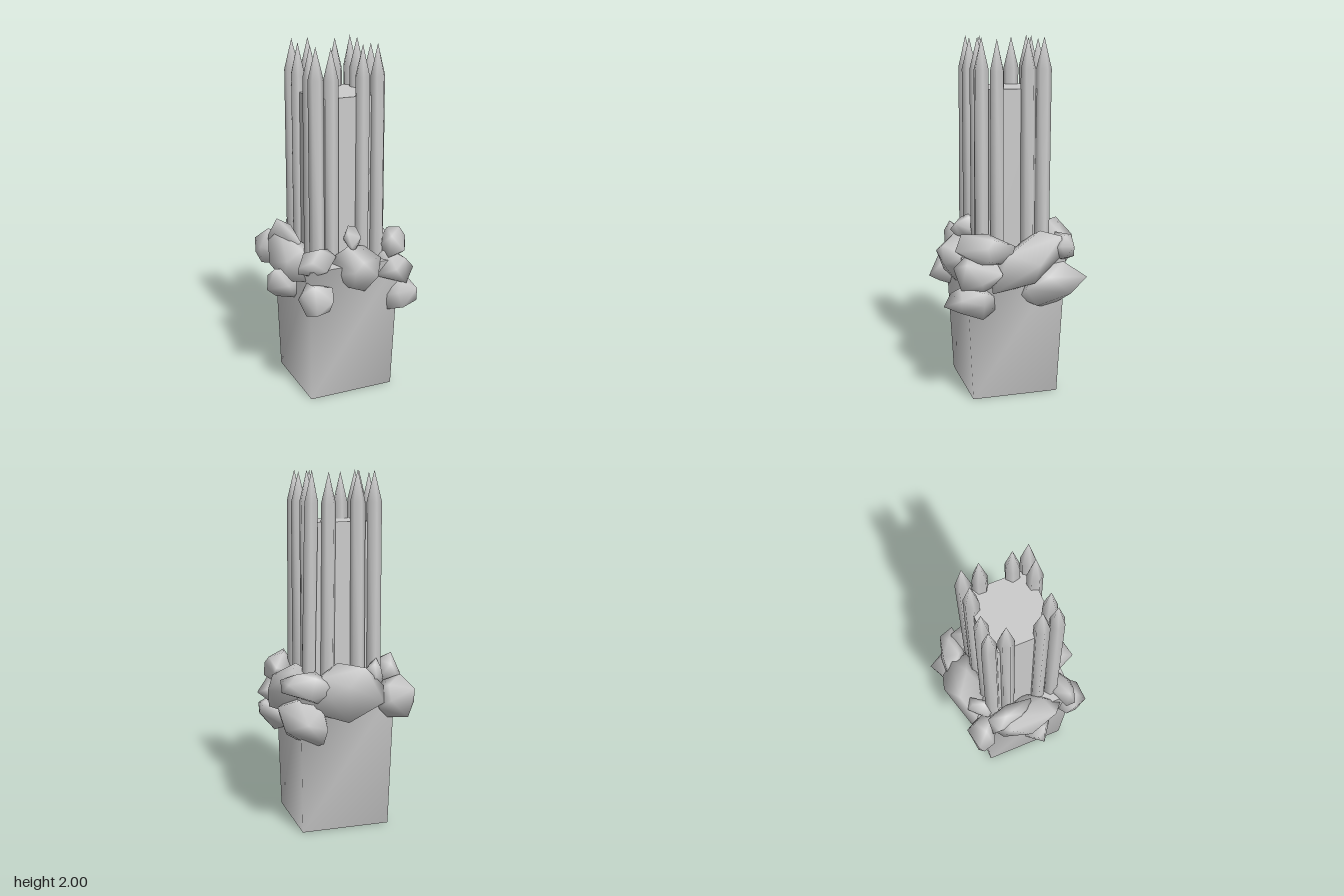
import * as THREE from 'three';
import { mergeVertices } from 'three/addons/utils/BufferGeometryUtils.js';
import { ConvexGeometry } from 'three/addons/geometries/ConvexGeometry.js';

const material = new THREE.MeshStandardMaterial({ color: 0xcccccc });
const openMaterial = new THREE.MeshStandardMaterial({ color: 0xcccccc, side: THREE.DoubleSide });

function add(parent, name, geometry, mat = material) {
  const mesh = new THREE.Mesh(geometry, mat);
  mesh.name = name;
  parent.add(mesh);
  return mesh;
}

// Share corners so that the normals run smoothly across them
function smooth(geometry) {
  geometry.deleteAttribute('normal');
  geometry.deleteAttribute('uv');
  const merged = mergeVertices(geometry, 1e-4);
  merged.computeVertexNormals();
  return merged;
}

function seeded(seed) {
  let s = seed * 7919 + 17;
  return () => (s = (s * 16807) % 2147483647) / 2147483647;
}

// Irregular convex boulder, skewed and then fitted into the box between two corners
function rockGeometry([x0, x1, y0, y1, z0, z1], [xByZ, yByX, yByZ], seed) {
  const rand = seeded(seed);
  for (let i = 0; i < 5; i++) rand();
  const points = [];
  const count = 13;
  for (let i = 0; i < count; i++) {
    const h = 1 - (2 * (i + 0.5)) / count;
    const a = i * 2.4 + rand() * 0.9 + seed;
    const r = Math.sqrt(1 - h * h);
    const p = new THREE.Vector3(r * Math.cos(a), h + (rand() - 0.5) * 0.2, r * Math.sin(a));
    p.multiplyScalar(0.85 + rand() * 0.25);
    p.y += yByX * p.x + yByZ * p.z;
    p.x += xByZ * p.z;
    points.push(p);
  }
  const box = new THREE.Box3().setFromPoints(points);
  const size = box.getSize(new THREE.Vector3());
  for (const p of points) {
    p.sub(box.min).divide(size);
    p.set(x0 + p.x * (x1 - x0), y0 + p.y * (y1 - y0), z0 + p.z * (z1 - z0));
  }
  return smooth(new ConvexGeometry(points));
}

export function createModel() {
  const group = new THREE.Group();
  group.name = 'palisadeTower';

  // Four-sided foundation, open below and wider at the top
  const wall = new THREE.CylinderGeometry(Math.SQRT1_2, Math.SQRT1_2, 0.8, 4, 1, true, Math.PI / 4);
  wall.translate(0, 0.4, 0);
  const pos = wall.attributes.position;
  for (let i = 0; i < pos.count; i++) {
    const y = pos.getY(i);
    pos.setX(i, pos.getX(i) * (0.505 + 0.04 * y) + 0.013);
    pos.setZ(i, pos.getZ(i) * (0.49 + 0.1 * y) + 0.005);
  }
  add(group, 'foundation', smooth(wall), openMaterial);
  const top = add(group, 'foundationTop', new THREE.PlaneGeometry(0.537, 0.57), openMaterial);
  top.rotation.x = -Math.PI / 2;
  top.position.set(0.013, 0.8, 0.005);

  // Square core behind the stakes
  const core = add(group, 'core', new THREE.BoxGeometry(0.36, 1.02, 0.355));
  core.position.set(0.008, 1.21, 0.003);

  // Sharpened six-sided stakes: x, z at the tip, then lean towards the foot
  const stakeGeometry = smooth(new THREE.LatheGeometry([
    new THREE.Vector2(0.042, -1.3),
    new THREE.Vector2(0.042, -0.17),
    new THREE.Vector2(0, 0),
  ], 6));
  const stakes = [
    [-0.165, -0.18, 0, 0], [-0.07, -0.18, 0, 0],
    [0.09, -0.17, 0.01, 0], [0.185, -0.175, 0.018, 0.012],
    [0.188, -0.085, 0, 0], [0.187, 0.09, 0, 0],
    [0.188, 0.175, 0.004, 0.005], [0.1, 0.175, 0, 0],
    [-0.085, 0.175, 0, 0], [-0.172, 0.175, 0, 0.006],
    [-0.17, 0.095, 0, 0], [-0.165, -0.09, 0, 0],
  ];
  const palisade = new THREE.Group();
  palisade.name = 'palisade';
  group.add(palisade);
  stakes.forEach(([x, z, leanX, leanZ], i) => {
    const stake = add(palisade, 'stake', stakeGeometry);
    stake.position.set(x, i % 3 === 2 ? 1.985 : 1.995, z);
    stake.rotation.set(-leanZ, i * 1.3, leanX, 'XZY');
  });

  // Boulders piled round the foot of the palisade:
  // x, y and z ranges, then skew of x by z, y by x and y by z
  const boulders = [
    // front left
    [[0.19, 0.4, 0.48, 0.67, 0.12, 0.41], [0, 0.3, 0.2]],
    [[0.14, 0.41, 0.64, 0.85, 0.1, 0.35], [-0.2, -0.2, 0]],
    [[0.2, 0.38, 0.79, 0.95, 0.03, 0.35], [-0.4, 0, 0.2]],
    // left side
    [[0.18, 0.42, 0.63, 0.95, -0.25, 0.16], [0.3, 0, -0.5]],
    // back left
    [[0.12, 0.38, 0.48, 0.77, -0.41, -0.02], [0, 0, 0]],
    [[0.1, 0.38, 0.75, 0.92, -0.35, -0.19], [0.5, 0, 0]],
    // back
    [[-0.19, 0.22, 0.64, 0.96, -0.4, -0.16], [0, 0, 0]],
    [[-0.21, -0.08, 0.8, 0.97, -0.32, -0.18], [-0.6, 0, 0]],
    // back right
    [[-0.36, -0.16, 0.64, 0.88, -0.36, -0.18], [0.3, 0, 0]],
    // right side
    [[-0.32, -0.17, 0.76, 0.98, -0.24, 0.04], [0.4, 0, 0]],
    [[-0.38, -0.16, 0.66, 0.92, -0.24, 0.22], [0.2, 0, 0]],
    [[-0.42, -0.22, 0.57, 0.76, -0.05, 0.12], [0, -0.3, 0]],
    // front right
    [[-0.32, -0.08, 0.74, 0.92, 0.17, 0.31], [-0.2, 0, 0]],
    [[-0.31, -0.12, 0.54, 0.73, 0.2, 0.39], [0, 0, 0]],
    // front
    [[-0.1, 0.18, 0.64, 0.91, 0.15, 0.39], [0, 0, 0]],
    [[-0.04, 0.07, 0.87, 1.01, 0.16, 0.31], [0, 0, 0]],
  ];
  const pile = new THREE.Group();
  pile.name = 'boulders';
  group.add(pile);
  boulders.forEach(([range, skew], i) => add(pile, 'boulder', rockGeometry(range, skew, i + 1)));

  return group;
}
